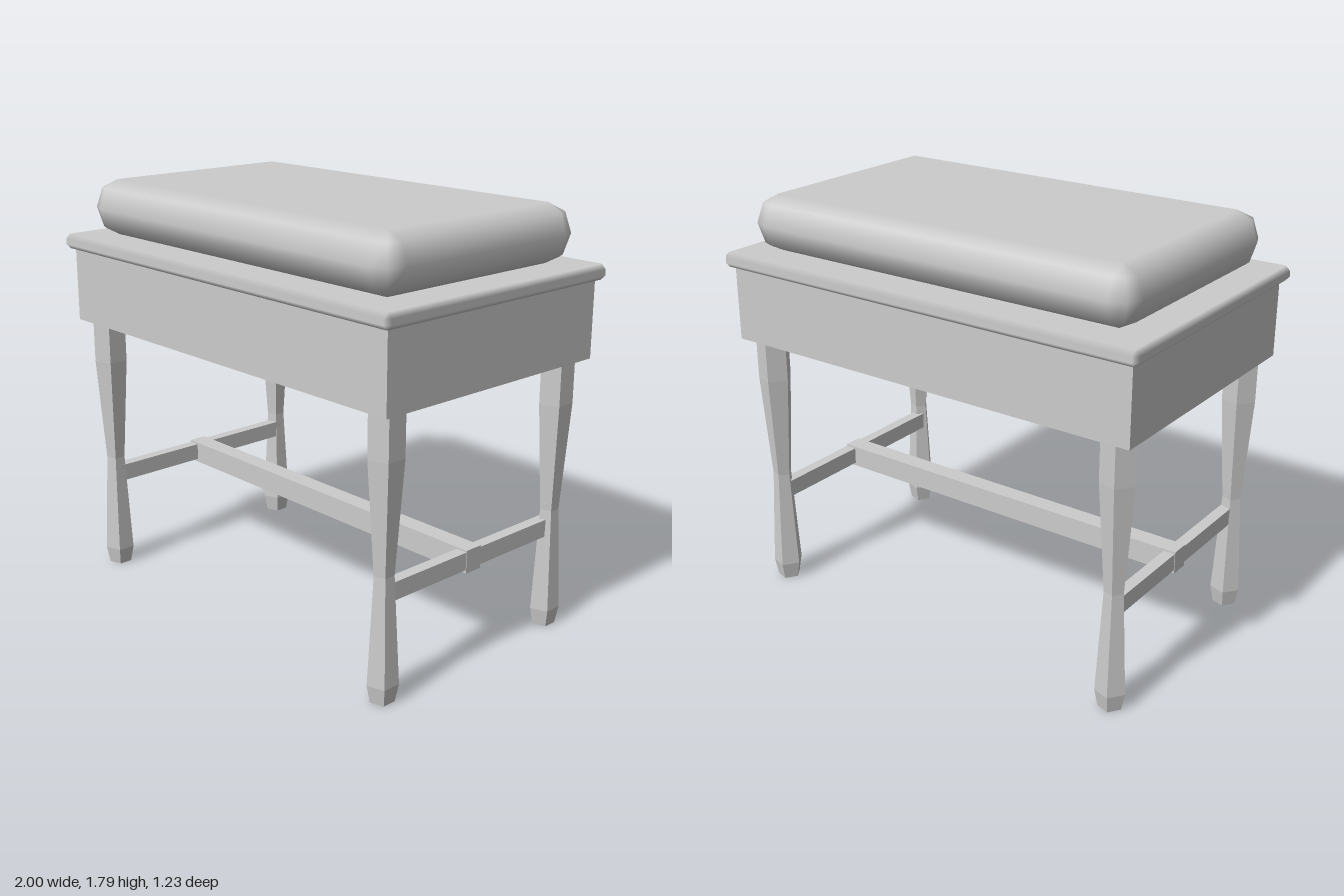
import * as THREE from 'three';

// Slab with rounded rim and corners: half sizes hx, hz; vertical span y0..y1;
// corner radius r in plan, rim height b, steps per quarter turn.
function softSlab(hx, hz, y0, y1, r, b, steps) {
  const pos = [], nor = [], index = [];
  const mid = (y0 + y1) / 2, core = (y1 - y0) / 2 - b;
  const rings = [];
  for (let i = -steps; i <= 0; i++) rings.push([(i / steps) * Math.PI / 2, -core]);
  for (let i = core > 0.001 ? 0 : 1; i <= steps; i++) rings.push([(i / steps) * Math.PI / 2, core]);
  const count = 4 * (steps + 1);
  for (const [phi, shift] of rings) {
    for (let q = 0; q < 4; q++) {
      const sx = q === 0 || q === 3 ? 1 : -1, sz = q < 2 ? 1 : -1;
      for (let s = 0; s <= steps; s++) {
        const t = (q + s / steps) * Math.PI / 2;
        const c = Math.cos(phi), n = new THREE.Vector3(c * Math.cos(t) / r, Math.sin(phi) / b, c * Math.sin(t) / r).normalize();
        pos.push(sx * (hx - r) + r * c * Math.cos(t), mid + shift + b * Math.sin(phi), sz * (hz - r) + r * c * Math.sin(t));
        nor.push(n.x, n.y, n.z);
      }
    }
  }
  for (let i = 0; i < rings.length - 1; i++) {
    for (let k = 0; k < count; k++) {
      const a = i * count + k, d = i * count + (k + 1) % count;
      index.push(a, a + count, d, d, a + count, d + count);
    }
  }
  // bottom and top caps
  const top = (rings.length - 1) * count;
  for (let k = 1; k < count - 1; k++) {
    index.push(0, k, k + 1, top, top + k + 1, top + k);
  }
  const g = new THREE.BufferGeometry();
  g.setAttribute('position', new THREE.Float32BufferAttribute(pos, 3));
  g.setAttribute('normal', new THREE.Float32BufferAttribute(nor, 3));
  g.setIndex(index);
  return g;
}

export function createModel() {
  const group = new THREE.Group();
  group.name = 'paddedBench';
  const grey = new THREE.MeshStandardMaterial({ color: 0xcccccc });
  grey.name = 'light grey';

  const add = (name, geometry, x = 0, y = 0, z = 0) => {
    const mesh = new THREE.Mesh(geometry, grey);
    mesh.name = name;
    mesh.position.set(x, y, z);
    group.add(mesh);
  };

  // seat
  add('cushion', softSlab(0.918, 0.533, 1.55, 1.79, 0.095, 0.12, 2));
  add('seatBoard', softSlab(1, 0.613, 1.486, 1.55, 0.02, 0.02, 1));
  add('apron', new THREE.BoxGeometry(1.93, 0.325, 1.152), 0, 1.3275, 0);

  // five-sided waisted legs, flat face towards +x
  const profile = [[0, 0], [0.05, 0], [0.065, 0.075], [0.041, 0.52], [0.0724, 0.98], [0.0724, 1.17], [0, 1.17]]
    .map(([r, y]) => new THREE.Vector2(r, y));
  const leg = new THREE.LatheGeometry(profile, 5, -Math.PI / 2).toNonIndexed();
  leg.computeVertexNormals();

  for (const side of [1, -1]) {
    const label = side > 0 ? 'left' : 'right';
    add(label + 'FrontLeg', leg, side * 0.871, 0, 0.483);
    add(label + 'BackLeg', leg, side * 0.871, 0, -0.483);
    add(label + 'Stretcher', new THREE.BoxGeometry(0.05, 0.075, 0.96), side * 0.86, 0.442, 0);
  }

  // long stretcher joining the side ones
  add('longStretcher', new THREE.BoxGeometry(1.775, 0.097, 0.082), 0, 0.439, 0);
  return group;
}
